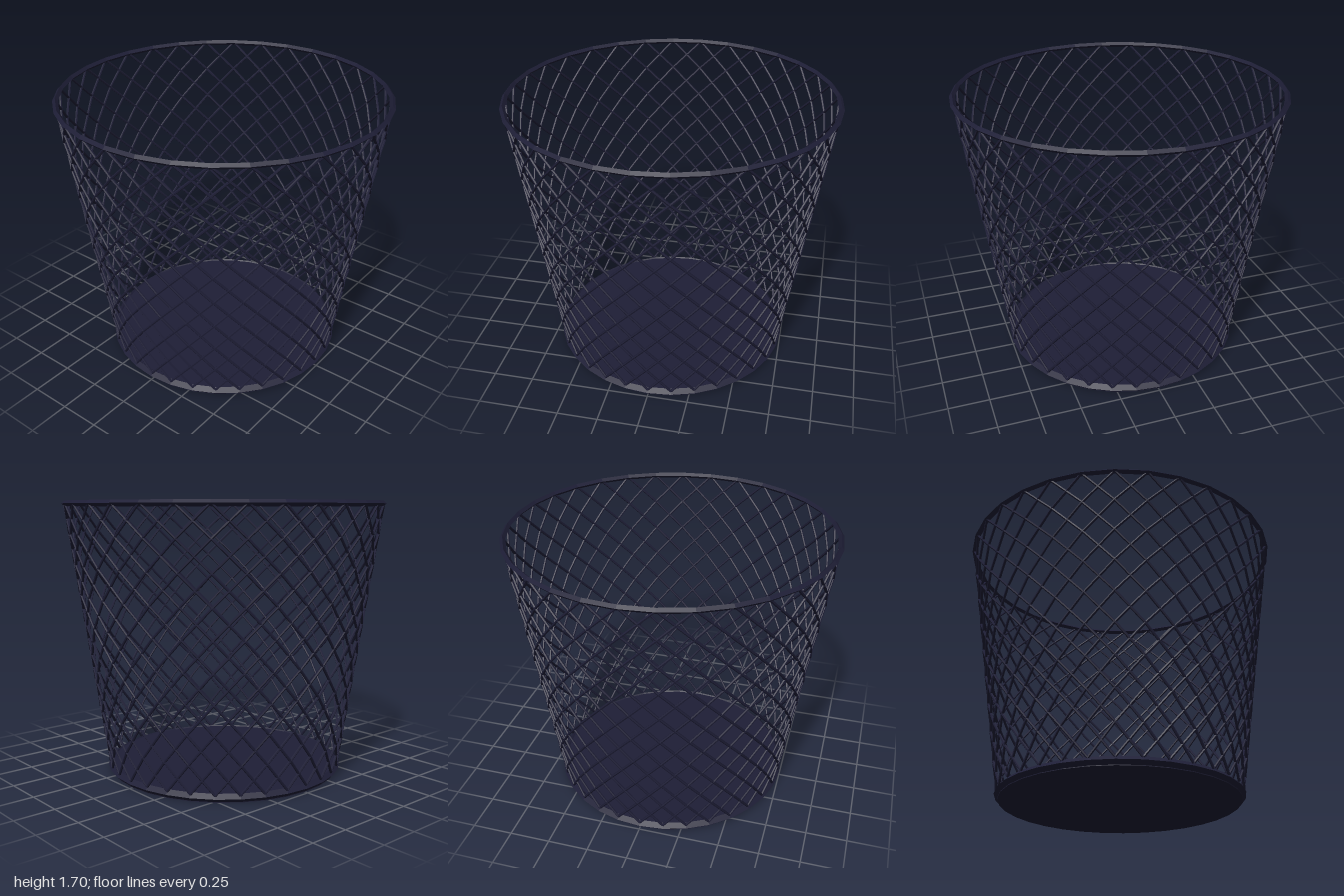
import * as THREE from 'three';
import { mergeGeometries } from 'three/addons/utils/BufferGeometryUtils.js';

const SIDES = 32, ROWS = 9;
const BOTTOM = { y: 0.045, r: 0.737 }, TOP = { y: 1.685, r: 0.985 };

// One wire climbing the tapered wall, turning one side per row
class Strand extends THREE.Curve {
  constructor(start, dir) {
    super();
    this.start = start;
    this.dir = dir;
  }
  getUtoTmapping(u) { return u; } // keep the knots on even rows
  getPoint(t, target = new THREE.Vector3()) {
    const a = (this.start + this.dir * t * ROWS) * Math.PI * 2 / SIDES;
    const r = THREE.MathUtils.lerp(BOTTOM.r, TOP.r, t);
    return target.set(Math.sin(a) * r, THREE.MathUtils.lerp(BOTTOM.y, TOP.y, t), Math.cos(a) * r);
  }
}

// Hoop with a diamond section: one facet slopes up, one slopes down
const hoop = (radius, tube, y) =>
  new THREE.TorusGeometry(radius, tube, 4, SIDES).rotateX(Math.PI / 2).translate(0, y, 0);

export function createModel() {
  const model = new THREE.Group();
  model.name = 'wireBasket';
  const metal = new THREE.MeshStandardMaterial({ color: 0x1e1e36, flatShading: true });
  metal.name = 'dark navy metal';

  const add = (name, geometry) => {
    const mesh = new THREE.Mesh(geometry, metal);
    mesh.name = name;
    model.add(mesh);
  };

  // Lattice wall: two families of wires winding opposite ways
  for (const [name, dir] of [['leftWires', -1], ['rightWires', 1]]) {
    const wires = [];
    for (let i = 0; i < SIDES; i++) {
      wires.push(new THREE.TubeGeometry(new Strand(i, dir), ROWS, 0.008, 6));
    }
    add(name, mergeGeometries(wires));
  }

  // Rim, base plate and the hoop that holds the wires to it
  add('rim', hoop(0.983, 0.017, 1.684));
  add('basePlate', new THREE.CylinderGeometry(0.727, 0.727, 0.046, SIDES).translate(0, 0.023, 0));
  add('baseHoop', hoop(0.724, 0.026, 0.027));

  return model;
}
